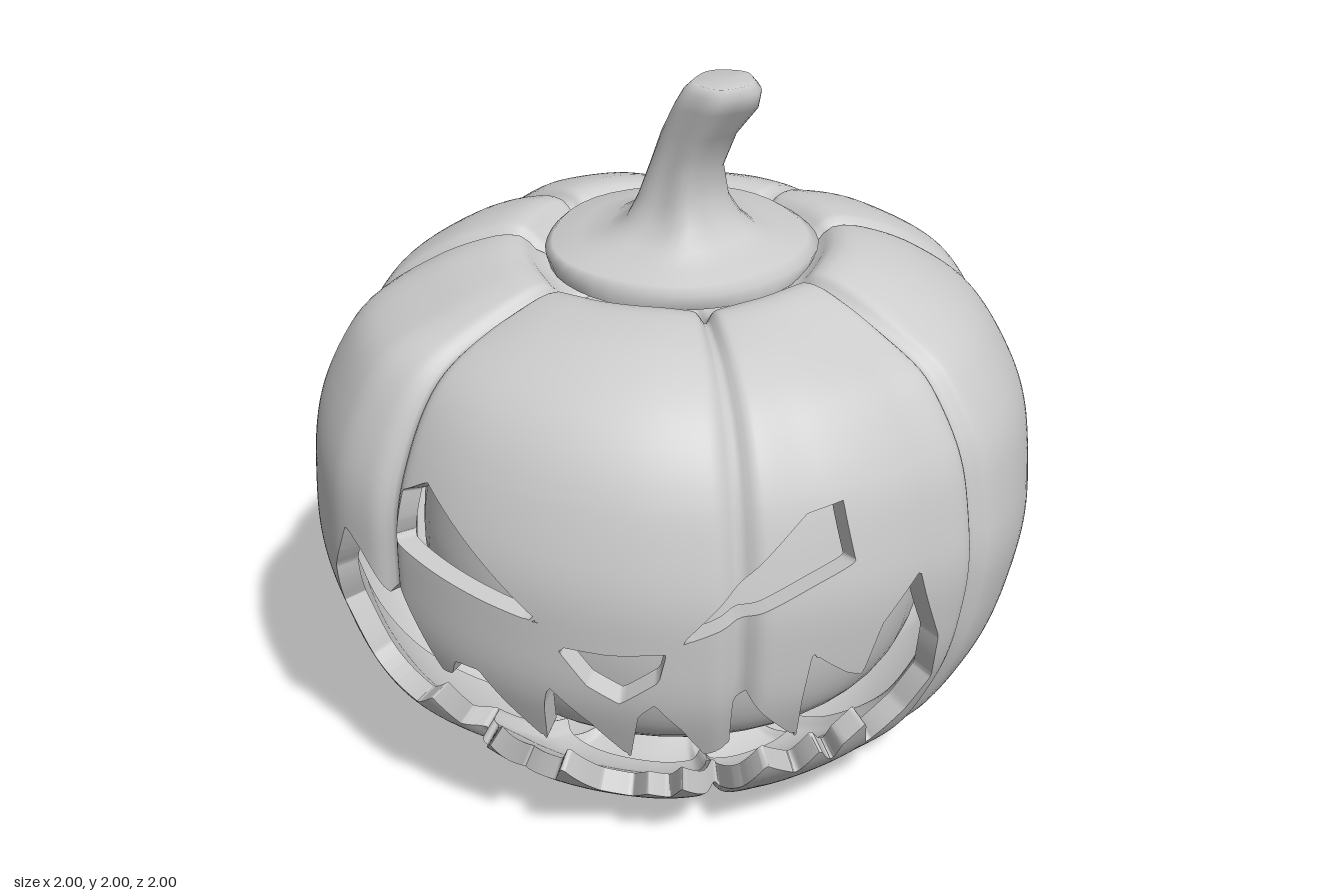
import * as THREE from 'three';
import { mergeVertices } from 'three/addons/utils/BufferGeometryUtils.js';

const { smoothstep, clamp } = THREE.MathUtils;
const WALL = 0.062;
// Each rib: angle of the groove where it starts, and how far the rib swells
const RIBS = [[0.37, -0.025], [1.14, 0], [2.01, 0.022], [2.69, 0], [3.44, 0.03], [4.15, 0.005], [4.81, 0.032], [5.62, 0]];
const spline = (points) => new THREE.SplineCurve(points.map(([x, y]) => new THREE.Vector2(x, y)));

// Half profile of the rind (radius, height), from the bottom dimple to the top dish
const profile = spline([
  [0, 0.055], [0.13, 0.06], [0.21, 0.065], [0.27, 0.03], [0.4, 0.003], [0.6, 0.07], [0.83, 0.28], [0.965, 0.58],
  [1.0, 0.86], [0.96, 1.12], [0.845, 1.33], [0.67, 1.465], [0.52, 1.525], [0.44, 1.53],
  [0.4, 1.505], [0.36, 1.47], [0.2, 1.46], [0, 1.46],
]);
profile.arcLengthDivisions = 500;

// Carved openings as front outlines (x, y)
const OPENINGS = [
  // mouth: upper teeth from left to right, then lower teeth back again
  [[-0.75, 0.9], [-0.70, 0.85], [-0.62, 0.74], [-0.565, 0.80], [-0.5, 0.7], [-0.44, 0.6], [-0.41, 0.6],
    [-0.39, 0.66], [-0.32, 0.66], [-0.25, 0.57], [-0.15, 0.455], [-0.14, 0.6], [-0.125, 0.67],
    [-0.02, 0.555], [0.07, 0.43], [0.105, 0.6], [0.147, 0.64], [0.21, 0.545], [0.255, 0.44],
    [0.31, 0.45], [0.33, 0.625], [0.36, 0.66], [0.425, 0.545], [0.475, 0.45], [0.495, 0.6],
    [0.52, 0.75], [0.6, 0.66], [0.635, 0.635], [0.68, 0.785], [0.76, 0.9],
    [0.81, 0.65], [0.795, 0.49], [0.73, 0.37], [0.63, 0.25], [0.64, 0.40], [0.58, 0.33], [0.545, 0.24],
    [0.53, 0.345], [0.46, 0.235], [0.4, 0.34], [0.33, 0.23], [0.24, 0.13], [0.18, 0.265],
    [0.13, 0.165], [0.08, 0.21], [0.02, 0.145], [-0.06, 0.18], [-0.135, 0.325], [-0.19, 0.18],
    [-0.31, 0.13], [-0.35, 0.325], [-0.41, 0.2], [-0.5, 0.23], [-0.555, 0.36], [-0.62, 0.29],
    [-0.74, 0.44], [-0.815, 0.6], [-0.81, 0.74]],
  // eyes
  [[-0.575, 0.935], [-0.545, 1.08], [-0.465, 1.13], [-0.13, 0.855], [-0.28, 0.88]],
  [[0.21, 0.825], [0.49, 1.13], [0.57, 1.145], [0.61, 0.985], [0.33, 0.87]],
  // nose
  [[-0.1, 0.8], [0.04, 0.79], [0.18, 0.8], [0.16, 0.715], [0.06, 0.64], [-0.02, 0.69]],
];

// Signed distance to an outline, negative inside
function outlineDistance(poly, x, y) {
  let best = Infinity, inside = false;
  poly.forEach(([ax, ay], i) => {
    const [bx, by] = poly[(i + 1) % poly.length];
    const dx = bx - ax, dy = by - ay;
    const t = clamp(((x - ax) * dx + (y - ay) * dy) / (dx * dx + dy * dy), 0, 1);
    best = Math.min(best, Math.hypot(x - ax - t * dx, y - ay - t * dy));
    if ((ay > y) !== (by > y) && x < ax + (y - ay) / dy * dx) inside = !inside;
  });
  return inside ? -best : best;
}

// Depth of the ribbing: narrow grooves between nearly round ribs of uneven fullness
function ribDepth(theta, r) {
  const turn = 2 * Math.PI;
  const a = (theta - RIBS[0][0] + 2 * turn) % turn + RIBS[0][0];
  const i = RIBS.findLastIndex(([g]) => g <= a);
  const end = i + 1 < RIBS.length ? RIBS[i + 1][0] : RIBS[0][0] + turn;
  const d = Math.min(a - RIBS[i][0], end - a);
  const edge = Math.pow(Math.max(0, 1 - d / 0.3), 2);
  const groove = 0.03 * Math.exp(-((d / 0.035) ** 2)) + 0.014 * edge;
  return groove * smoothstep(r, 0.2, 0.45) - RIBS[i][1] * smoothstep(d, 0, 0.22) * smoothstep(r, 0.45, 0.95);
}

// Point on the rind at angle theta and profile position v, sunk inward by depth
function rindPoint({ theta, v }, depth = 0) {
  const p = profile.getPointAt(v), t = profile.getTangentAt(v);
  const sink = depth + ribDepth(theta, p.x)
    + 0.004 * Math.sin(5 * theta + 9 * p.y) * Math.sin(11 * p.y - 3 * theta) * p.x;
  const r = Math.max(0, p.x - t.y * sink);
  const z = r * Math.cos(theta);
  const y = p.y + t.x * sink;
  // the shoulder dips a little at the front, and the underside lifts at the back
  const dip = 0.045 * Math.exp(-(((z - 0.4) / 0.25) ** 2)) * smoothstep(y, 1.3, 1.5);
  const lift = 0.032 * smoothstep(-z, 0, 0.35) * (1 - smoothstep(y, 0.05, 0.4));
  return new THREE.Vector3(r * Math.sin(theta), y - dip + lift, z);
}

function smoothGeometry(points) {
  const flat = [];
  for (const p of points) flat.push(p.x, p.y, p.z);
  const g = new THREE.BufferGeometry();
  g.setAttribute('position', new THREE.Float32BufferAttribute(flat, 3));
  const merged = mergeVertices(g, 1e-4);
  merged.computeVertexNormals();
  return merged;
}

// Steps from stop to stop: [end value, number of steps]
function spacing(start, stops) {
  const out = [start];
  for (const [end, n] of stops) {
    const from = out[out.length - 1];
    for (let i = 1; i <= n; i++) out.push(from + (end - from) * i / n);
  }
  return out;
}

// Rind: a grid clipped against the openings, with an inner skin and cut walls
function buildRind() {
  const angles = spacing(-1.2, [[1.2, 160], [2 * Math.PI - 1.2, 120]]);
  const rows = spacing(0, [[0.18, 20], [0.63, 90], [1, 34]]);
  const grid = angles.map((theta) => rows.map((v) => {
    const p = rindPoint({ theta, v });
    const f = p.z < 0 ? 1 : Math.min(...OPENINGS.map((o) => outlineDistance(o, p.x, p.y)));
    return { theta, v, f, p };
  }));
  const outer = [], inner = [], walls = [];

  function clip(tri, front) {
    const kept = [];
    let exit = null, entry = null;
    tri.forEach((a, i) => {
      const b = tri[(i + 1) % 3];
      if (a.f >= 0) kept.push(a);
      if ((a.f >= 0) !== (b.f >= 0)) {
        const k = a.f / (a.f - b.f);
        const c = { theta: a.theta + (b.theta - a.theta) * k, v: a.v + (b.v - a.v) * k };
        c.p = rindPoint(c);
        kept.push(c);
        if (a.f >= 0) exit = c; else entry = c;
      }
    });
    if (kept.length < 3) return;
    const deep = front ? kept.map((q) => rindPoint(q, WALL)) : null;
    for (let i = 1; i < kept.length - 1; i++) {
      outer.push(kept[0].p, kept[i].p, kept[i + 1].p);
      if (front) inner.push(deep[0], deep[i + 1], deep[i]);
    }
    if (exit && entry) {
      const e = rindPoint(exit, WALL), n = rindPoint(entry, WALL);
      walls.push(exit.p, e, n, exit.p, n, entry.p);
    }
  }

  for (let i = 0; i < angles.length - 1; i++) {
    for (let j = 0; j < rows.length - 1; j++) {
      const a = grid[i][j], b = grid[i + 1][j], c = grid[i + 1][j + 1], d = grid[i][j + 1];
      const front = i < 160 && j > 16 && j < 120;
      clip([a, b, c], front);
      clip([a, c, d], front);
    }
  }
  return { rind: outer, rindInside: inner, carvedEdges: walls };
}

// Lid and stem: rings of [height, centre x, centre z, radius x, radius z, waviness, forward tilt]
function buildStem() {
  const rings = [
    [1.46, 0.005, -0.015, 0.365, 0.365, 0, 0.05], [1.502, 0.005, -0.015, 0.375, 0.375, 0.015, 0.05],
    [1.52, 0, -0.015, 0.35, 0.35, 0.015, 0.05], [1.535, 0, 0, 0.27, 0.28, 0.02, 0.05],
    [1.56, 0.01, 0.01, 0.2, 0.21, 0.04, 0.03], [1.6, 0.02, 0.02, 0.15, 0.165, 0.06, 0],
    [1.66, 0.022, 0.035, 0.118, 0.13, 0.07, 0], [1.75, 0.035, 0.048, 0.095, 0.11, 0.07, 0],
    [1.85, 0.075, 0.075, 0.097, 0.103, 0.06, 0], [1.93, 0.125, 0.1, 0.108, 0.11, 0.05, 0],
    [1.975, 0.143, 0.107, 0.1, 0.115, 0.04, 0], [1.997, 0.145, 0.107, 0.078, 0.095, 0.03, 0],
    [1.992, 0.145, 0.107, 0, 0, 0, 0],
  ];
  const sides = 40, points = [];
  const at = ([y, cx, cz, rx, rz, wave, tilt], i) => {
    const a = (i % sides) / sides * Math.PI * 2;
    const w = 1 + wave * Math.cos(5 * a + 3 * y);
    const z = cz + rz * w * Math.cos(a);
    return new THREE.Vector3(cx + rx * w * Math.sin(a), y - tilt * z, z);
  };
  for (let k = 0; k < rings.length - 1; k++) {
    for (let i = 0; i < sides; i++) {
      const a = at(rings[k], i), b = at(rings[k], i + 1), c = at(rings[k + 1], i + 1), d = at(rings[k + 1], i);
      points.push(a, b, c, a, c, d);
    }
  }
  return points;
}

export function createModel() {
  const group = new THREE.Group();
  const material = new THREE.MeshStandardMaterial({ color: 0xcccccc, side: THREE.DoubleSide });
  const add = (name, geometry) => {
    const mesh = new THREE.Mesh(geometry, material);
    mesh.name = name;
    group.add(mesh);
  };
  for (const [name, points] of Object.entries(buildRind())) add(name, smoothGeometry(points));
  add('lidAndStem', smoothGeometry(buildStem()));

  // Smooth core inside the hollow rind
  const core = spline([[0, 0.14], [0.4, 0.18], [0.6, 0.28], [0.69, 0.4], [0.735, 0.6], [0.725, 0.8],
    [0.64, 1.1], [0.4, 1.32], [0, 1.4]]);
  add('innerCore', new THREE.LatheGeometry(core.getPoints(32), 48));
  return group;
}
